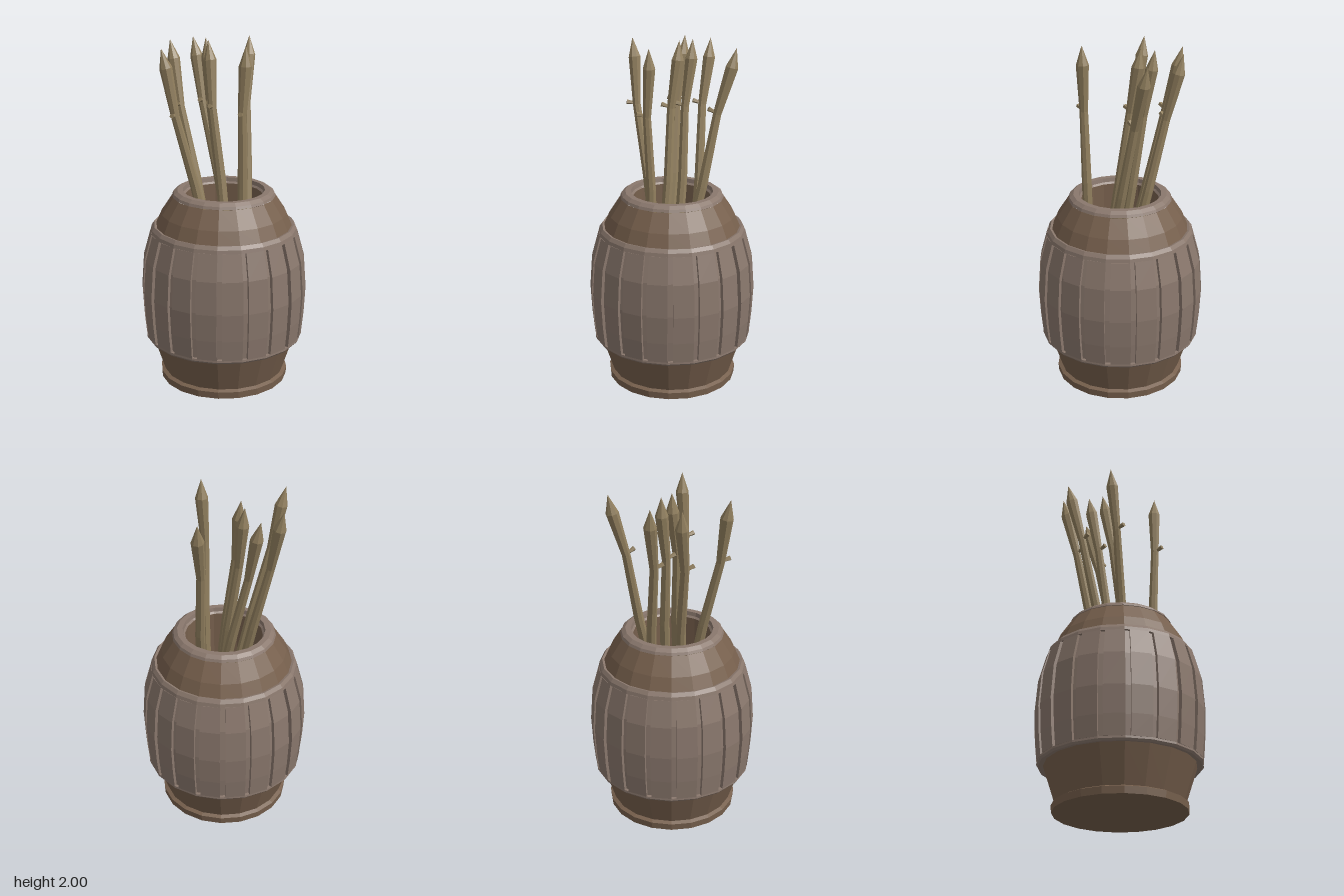
import * as THREE from 'three';

const SIDES = 20;
const STEP = (Math.PI * 2) / SIDES;
const paint = (color) => new THREE.MeshStandardMaterial({ color, flatShading: true });

function lathe(name, points, sides, material) {
  const geo = new THREE.LatheGeometry(points.map(([r, y]) => new THREE.Vector2(r, y)), sides);
  const mesh = new THREE.Mesh(geo, material);
  mesh.name = name;
  return mesh;
}

// Outer stave radius at each height
const BULGE = [[0.46, 0.28], [0.472, 0.4], [0.48, 0.56], [0.466, 0.75], [0.425, 0.9]];

// A box wrapped onto the barrel: x becomes angle, y follows the bulge, z becomes thickness
function staveGeometry() {
  const geo = new THREE.BoxGeometry(1, 1, 1, 1, BULGE.length - 1, 1);
  const pos = geo.attributes.position;
  for (let i = 0; i < pos.count; i++) {
    const angle = (0.5 - pos.getX(i)) * STEP * 0.79;
    const [r0, y] = BULGE[Math.round((pos.getY(i) + 0.5) * (BULGE.length - 1))];
    const r = pos.getZ(i) > 0 ? r0 : r0 - 0.03;
    pos.setXYZ(i, r * Math.sin(angle), y, -r * Math.cos(angle));
  }
  geo.computeVertexNormals();
  return geo;
}

// Sharpened stick with its tip at the origin, hanging down y, with a slight kink and a thorn
function makeStick(tip, base, material) {
  const top = new THREE.Vector3(...tip);
  const axis = top.clone().sub(new THREE.Vector3(...base));
  const length = axis.length();
  const stick = new THREE.Group();
  stick.name = 'stick';

  const shaft = lathe('stickShaft', [
    [0, -length], [0.029, -length], [0.028, -0.8], [0.024, -0.38], [0.036, -0.11], [0, 0],
  ], 8, material);
  const pos = shaft.geometry.attributes.position;
  for (let i = 0; i < pos.count; i++) {
    if (Math.abs(pos.getY(i) + 0.38) < 0.01) pos.setX(i, pos.getX(i) - 0.018);
  }
  shaft.geometry.computeVertexNormals();

  const thorn = new THREE.Mesh(new THREE.CylinderGeometry(0.014, 0.009, 0.045, 5), material);
  thorn.name = 'thorn';
  const out = new THREE.Vector3(-0.85, 0.25, 0.45).normalize();
  thorn.quaternion.setFromUnitVectors(new THREE.Vector3(0, 1, 0), out);
  thorn.position.set(-0.018, -0.375, 0).addScaledVector(out, 0.035);

  stick.add(shaft, thorn);
  stick.position.copy(top);
  stick.quaternion.setFromUnitVectors(new THREE.Vector3(0, 1, 0), axis.normalize());
  return stick;
}

export function createModel() {
  const model = new THREE.Group();
  model.name = 'barrelOfStakes';
  const dark = paint(0x77604d);
  const light = paint(0x8a786d);
  const wood = paint(0x92805f);

  // Foot with hoop, and sloping shoulder
  model.add(lathe('foot', [
    [0, 0], [0.373, 0], [0.376, 0.04], [0.355, 0.05], [0.425, 0.265],
  ], SIDES, dark));
  model.add(lathe('shoulder', [[0.395, 0.93], [0.36, 1.01], [0.295, 1.11]], SIDES, dark));

  // Shell behind the staves, with solid lips at both ends
  const groove = BULGE.map(([r, y]) => [r - 0.018, y]);
  model.add(lathe('staveShell', [
    [0.41, 0.265], [0.452, 0.257], [0.461, 0.268], BULGE[0], ...groove,
    BULGE[4], [0.42, 0.92], [0.405, 0.94], [0.385, 0.935],
  ], SIDES, light));

  // Raised staves
  const staves = new THREE.Group();
  staves.name = 'staves';
  const geo = staveGeometry();
  for (let i = 0; i < SIDES; i++) {
    const stave = new THREE.Mesh(geo, light);
    stave.name = 'stave';
    stave.rotation.y = i * STEP;
    staves.add(stave);
  }
  model.add(staves);

  // Mouth rim, inner wall and floor
  model.add(lathe('rim', [
    [0.285, 1.11], [0.297, 1.112], [0.29, 1.127], [0.268, 1.143], [0.236, 1.143], [0.232, 1.12], [0.222, 1.11],
  ], SIDES, light));
  model.add(lathe('innerWall', [[0.222, 1.11], [0.222, 0.56]], SIDES, dark));
  model.add(lathe('floor', [[0.222, 0.56], [0, 0.56]], SIDES, light));

  // Stakes standing in the barrel: tip, base
  const stakes = [
    [[-0.055, 1.97, -0.355], [-0.045, 0.58, -0.02]],
    [[0.11, 1.97, -0.33], [0.115, 0.58, 0]],
    [[-0.31, 1.97, -0.18], [-0.07, 0.58, 0.03]],
    [[0.055, 1.985, -0.183], [0.03, 0.58, 0.03]],
    [[0, 1.985, -0.115], [-0.04, 0.58, 0.09]],
    [[0.34, 1.97, -0.1], [0.07, 0.58, 0.11]],
    [[-0.055, 1.995, 0.203], [-0.05, 0.58, 0.17]],
  ];
  for (const [tip, base] of stakes) model.add(makeStick(tip, base, wood));

  return model;
}
